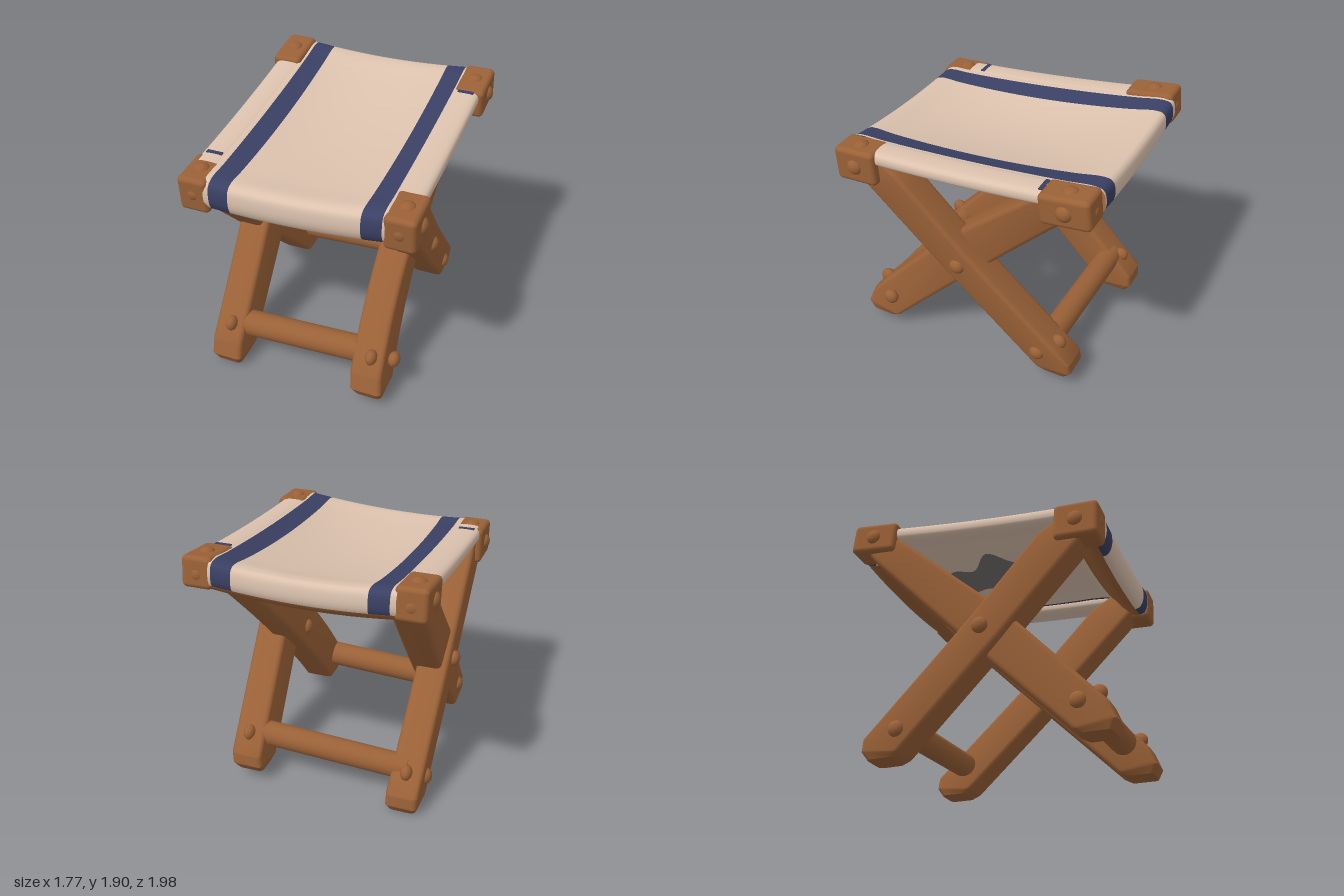
import * as THREE from 'three';
import { toCreasedNormals } from 'three/addons/utils/BufferGeometryUtils.js';
import { RoundedBoxGeometry } from 'three/addons/geometries/RoundedBoxGeometry.js';
import { ParametricGeometry } from 'three/addons/geometries/ParametricGeometry.js';

const mat = (name, color, side = THREE.FrontSide) => {
  const m = new THREE.MeshStandardMaterial({ color, side });
  m.name = name;
  return m;
};
const lerp = THREE.MathUtils.lerp;

// Height of the sagging, tilted canvas at any point
function seatY(x, z) {
  const k = (x / 0.63) ** 2;
  const t = THREE.MathUtils.clamp((z + 0.95) / 1.9, 0, 1);
  const back = 1.848 + 0.034 * k + 0.005 * x;
  const front = 1.682 + 0.027 * k + 0.05 * x;
  return lerp(back, front, t) - 0.09 * 4 * t * (1 - t) * (1 - 0.7 * Math.min(k, 1));
}

export function createModel() {
  const group = new THREE.Group();
  const wood = mat('wood', 0x9a6137);
  const woodSheet = mat('wood rail', 0x9a6137, THREE.DoubleSide);
  const canvas = mat('canvas', 0xdcc2ae, THREE.DoubleSide);
  const navy = mat('navy stripe', 0x3a4064, THREE.DoubleSide);
  const patch = mat('dark patch', 0x736e6e, THREE.DoubleSide);

  const add = (name, geo, material, x = 0, y = 0, z = 0) => {
    const m = new THREE.Mesh(geo, material);
    m.name = name;
    m.position.set(x, y, z);
    group.add(m);
    return m;
  };

  // Rounded bolt heads, flattened along one axis
  const boltGeo = new THREE.SphereGeometry(0.06, 16, 10);
  const bolt = (x, y, z, axis = 'x') => {
    const b = add('bolt', boltGeo, wood, x, y, z);
    b.scale[axis] = 0.75;
  };

  // Legs: rounded rectangles lofted through stations [z, y of lower edge, z, y of upper edge,
  // thickness factor]; the leg leans sideways along a quadratic through three x values
  const leg = (name, stations, dy, bottom, mid, top) => {
    const n = stations.length - 1;
    const geo = new ParametricGeometry((u, v, out) => {
      const f = v * n, i = Math.min(Math.floor(f + 1e-6), n - 1);
      const [zl, yl, zu, yu, s] = stations[i].map((a, j) => lerp(a, stations[i + 1][j], f - i));
      const corner = Math.round(u * 16) % 16, c = Math.floor(corner / 4);
      const a = (c + (corner % 4) / 3) * Math.PI / 2;
      const half = 0.12 * s, len = Math.hypot(zu - zl, yu - yl);
      const r = Math.min(0.035, half, len / 2);
      const sx = c === 0 || c === 3 ? 1 : -1, sw = c < 2 ? 1 : -1;
      const x = sx * (half - r) + r * Math.cos(a);
      const w = len ? 0.5 + (sw * (len / 2 - r) + r * Math.sin(a)) / len : 0.5;
      const y = lerp(yl, yu, w), h = y / 0.9;
      const lean = bottom * (1 - h) * (1 - h / 2) + mid * h * (2 - h) + top * h * (h - 1) / 2;
      out.set(x + lean, y, lerp(zl, zu, w));
    }, 16, n * 6);
    add(name, toCreasedNormals(geo, 0.7), wood, 0, dy, 0);
  };
  const outer = [
    [-0.67, 0.09, -0.67, 0.09, 0], [-0.57, 0.09, -0.77, 0.09, 0.85], [-0.52, 0.12, -0.81, 0.15, 1],
    [-0.44, 0.2, -0.8, 0.24, 1], [0.2, 0.84, 0, 1.05, 1], [0.77, 1.44, 0.5, 1.6, 1],
    [0.87, 1.56, 0.65, 1.7, 0.9], [0.76, 1.63, 0.76, 1.63, 0],
  ];
  const inner = [
    [-0.76, 1.78, -0.76, 1.78, 0], [-0.87, 1.72, -0.67, 1.83, 0.9], [-0.79, 1.62, -0.57, 1.76, 1],
    [0, 0.8, 0.2, 1.08, 1], [0.61, 0.19, 0.94, 0.28, 1], [0.69, 0.11, 0.99, 0.15, 1],
    [0.74, 0.08, 0.955, 0.08, 0.85], [0.85, 0.08, 0.85, 0.08, 0],
  ];
  leg('outerLegLeft', outer, 0, 0.53, 0.62, 0.7);
  leg('innerLegLeft', inner, 0, 0.565, 0.5, 0.62);
  leg('outerLegRight', outer, -0.08, -0.665, -0.68, -0.69);
  leg('innerLegRight', inner, -0.05, -0.585, -0.63, -0.7);

  // Pivot bolts, foot bolts and bolts on the sloping leg edges
  bolt(0.735, 0.92, 0.08);
  bolt(0.39, 0.93, 0.08);
  bolt(-0.81, 0.87, 0.08);
  bolt(-0.515, 0.87, 0.08);
  bolt(0.67, 0.28, -0.54);
  bolt(0.68, 0.31, 0.74);
  bolt(-0.785, 0.2, -0.54);
  bolt(-0.71, 0.25, 0.74);
  bolt(0.54, 0.38, 0.85);
  bolt(-0.59, 0.33, 0.85);
  bolt(0.57, 0.36, -0.67);
  bolt(-0.67, 0.29, -0.67);

  // Round rods joining the feet
  const rod = (name, a, b, r) => {
    const va = new THREE.Vector3(...a), vb = new THREE.Vector3(...b);
    const d = vb.clone().sub(va);
    const m = add(name, new THREE.CylinderGeometry(r, r, d.length(), 24), wood);
    m.position.copy(va).add(vb).multiplyScalar(0.5);
    m.quaternion.setFromUnitVectors(new THREE.Vector3(0, 1, 0), d.normalize());
  };
  rod('frontRod', [-0.58, 0.28, 0.75], [0.55, 0.34, 0.75], 0.1);
  rod('backRod', [-0.66, 0.27, -0.58], [0.55, 0.33, -0.58], 0.095);

  // Corner blocks with bolts on their outer faces
  const blocks = [
    [0.745, 1.622, 0.805, 0.26, 0.325, 0.05], [-0.735, 1.55, 0.8, 0.27, 0.325, 0.05],
    [0.745, 1.765, -0.79, 0.225, 0.365, 0.12], [-0.74, 1.765, -0.79, 0.235, 0.365, 0.12],
  ];
  for (const [x, y, z, h, d, tilt] of blocks) {
    const sx = Math.sign(x), sz = Math.sign(z);
    const b = add('cornerBlock', new RoundedBoxGeometry(0.225, h, d, 3, 0.035), wood, x, y, z);
    b.rotation.x = tilt;
    bolt(x + sx * 0.1, y, z);
    bolt(x, y + h / 2 - 0.02, z, 'y');
    bolt(x, y, z + sz * (d / 2 - 0.035), 'z');
  }

  // Cloth section as (z, drop): over the top, round the front rail, underneath, round the back rail
  const section = [];
  for (let i = 0; i <= 10; i++) section.push([-0.9 + i * 0.18, 0]);
  section.push([0.95, -0.03], [0.965, -0.1], [0.955, -0.18], [0.92, -0.23], [0.84, -0.23],
    [0.77, -0.17], [0.68, -0.06]);
  for (let i = 0; i <= 6; i++) section.push([0.54 - i * 0.18, -0.035]);
  section.push([-0.68, -0.06], [-0.77, -0.17], [-0.84, -0.22], [-0.93, -0.22],
    [-0.98, -0.16], [-0.985, -0.08], [-0.965, -0.025]);
  const wrap = new THREE.CatmullRomCurve3(
    section.map(([z, d]) => new THREE.Vector3(0, d, z)), true, 'centripetal');

  // One panel between two x values and two point positions along the section
  const panel = (name, x0, x1, from, to, material) => {
    const across = Math.max(2, Math.ceil((x1 - x0) * 16));
    add(name, new ParametricGeometry((u, v, out) => {
      const p = wrap.getPoint((lerp(from, to, u) / section.length) % 1);
      const x = lerp(x0, x1, v);
      out.set(x, seatY(x, p.z) + p.y, p.z);
    }, Math.ceil((to - from) * 4), across), material);
  };
  const outerFrom = 28.8, outerTo = 46.4;
  panel('seatEdgeRight', -0.65, -0.61, outerFrom, outerTo, canvas);
  panel('stripeRight', -0.61, -0.465, outerFrom, outerTo, navy);
  panel('seatCanvas', -0.465, 0.485, outerFrom, outerTo, canvas);
  panel('stripeLeft', 0.485, 0.63, outerFrom, outerTo, navy);
  panel('seatEdgeLeft', 0.63, 0.65, outerFrom, outerTo, canvas);
  panel('frontRail', -0.65, 0.65, 14.4, 17, woodSheet);
  panel('backRail', -0.65, 0.65, 25, 28.8, woodSheet);
  panel('undersideHem', -0.65, 0.65, 24.75, 25, navy);
  panel('underside', -0.65, 0.58, 17, 24.75, canvas);
  panel('undersideEdge', 0.58, 0.65, 17, 24.75, navy);

  // Padded canvas side bands between the blocks, each with a small navy tab at one end
  for (const s of [-1, 1]) {
    add('sideBand', new ParametricGeometry((u, v, out) => {
      const a = u * Math.PI * 2, z = lerp(-0.72, 0.74, v);
      const c = Math.cos(a), n = Math.sin(a);
      const x = s * 0.722 + 0.103 * Math.sign(c) * Math.abs(c) ** 0.6;
      const y = seatY(s * 0.63, z) - 0.048 + 0.055 * Math.sign(n) * Math.abs(n) ** 0.7;
      out.set(x, y, z);
    }, 24, 16), canvas);
    const z = s > 0 ? -0.595 : 0.63;
    add('navyTab', new THREE.BoxGeometry(0.12, 0.009, 0.03), navy,
      s * 0.725, seatY(s * 0.63, z) + 0.007, z);
  }

  // Irregular dark patch under the seat
  add('undersidePatch', new ParametricGeometry((u, v, out) => {
    const z = lerp(-0.48, 0.48, v);
    const half = 0.21 * Math.sqrt(Math.max(0, 1 - (2 * v - 1) ** 2)) * (1 + 0.25 * Math.sin(v * 17));
    const x = -0.15 + 0.05 * Math.sin(v * 9) + lerp(-half, half, u);
    out.set(x, seatY(x, z) - 0.042, z);
  }, 6, 30), patch);

  return group;
}
